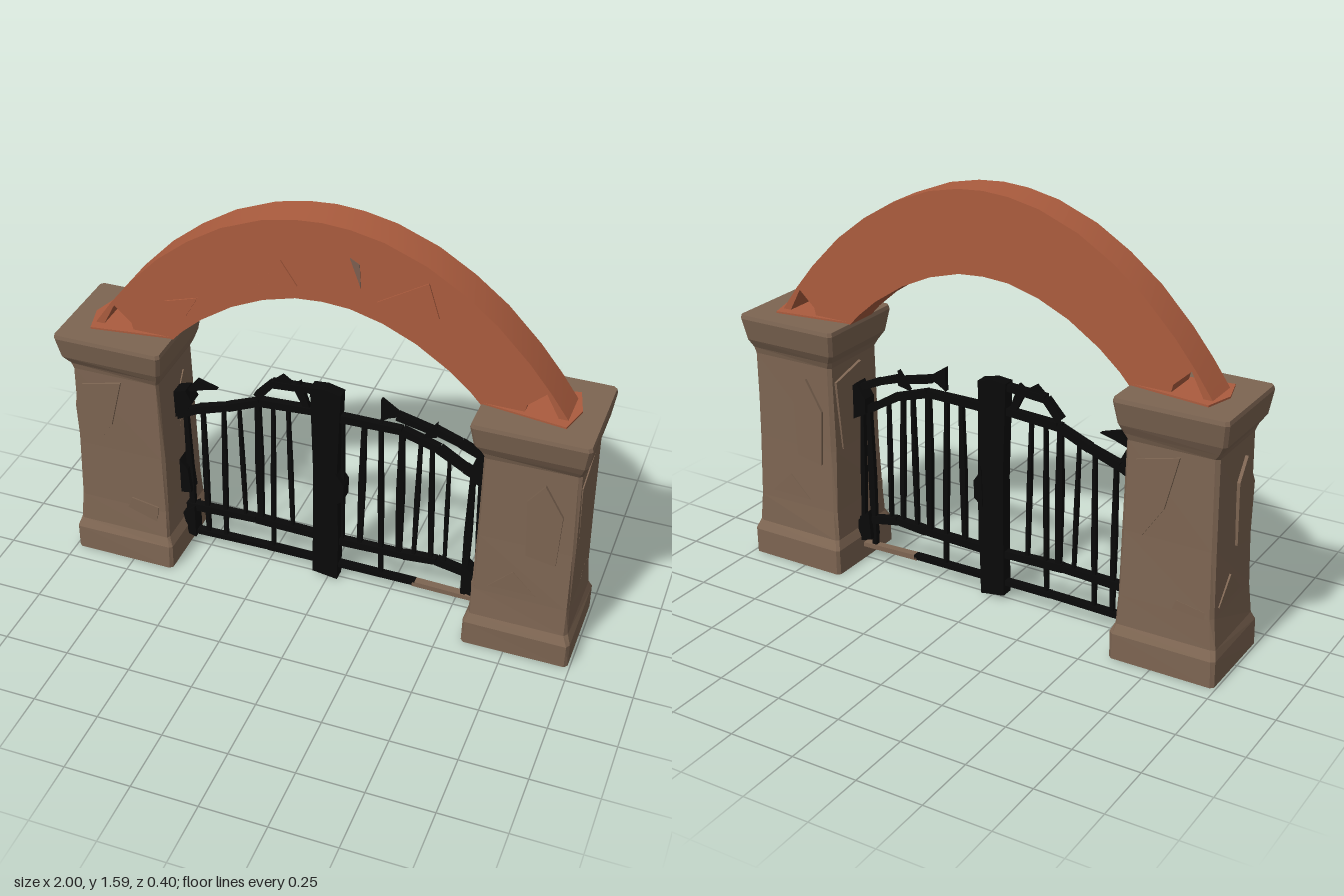
import * as THREE from 'three';
import { toCreasedNormals } from 'three/addons/utils/BufferGeometryUtils.js';

const mat = (name, color, flat = false) => {
  const m = new THREE.MeshStandardMaterial({ color, flatShading: flat, side: THREE.DoubleSide });
  m.name = name;
  return m;
};

export function createModel() {
  const root = new THREE.Group();
  root.name = 'archedGateway';
  const stone = mat('brownStone', 0x7d6552, true);
  const clay = mat('terracotta', 0xab5c3e);
  const iron = mat('blackIron', 0x090909, true);
  const grey = mat('greyBrownChip', 0x7c5f50);

  let seed = 7;
  const rand = () => ((seed = (seed * 16807) % 2147483647) / 2147483647) * 2 - 1;

  const add = (parent, name, geo, material) => {
    const m = new THREE.Mesh(geo, material);
    m.name = name;
    parent.add(m);
    return m;
  };
  const shapeOf = pts => new THREE.Shape(pts.map(p => new THREE.Vector2(p[0], p[1])));
  // Flat outline pushed out along z, centred on z
  const slab = (pts, depth, z = 0) =>
    new THREE.ExtrudeGeometry(shapeOf(pts), { depth, bevelEnabled: false }).translate(0, 0, z - depth / 2);
  // Flat bar between two points
  const bar = (parent, name, a, b, w0, w1, depth, material = iron) => {
    const dx = b[0] - a[0], dy = b[1] - a[1], l = Math.hypot(dx, dy);
    const nx = -dy / l / 2, ny = dx / l / 2;
    add(parent, name, slab([
      [a[0] + nx * w0, a[1] + ny * w0], [a[0] - nx * w0, a[1] - ny * w0],
      [b[0] - nx * w1, b[1] - ny * w1], [b[0] + nx * w1, b[1] + ny * w1]], depth), material);
  };

  // Square pillar from chamfered cross-sections: y, half width, half depth, x shift inward
  const levels = [
    [0, 0.203, 0.185, 0], [0.1, 0.203, 0.185, 0], [0.135, 0.19, 0.168, 0], [0.25, 0.182, 0.16, -0.004],
    [0.5, 0.178, 0.154, -0.004], [0.84, 0.174, 0.15, -0.006], [0.865, 0.183, 0.16, -0.004],
    [0.9, 0.2, 0.18, 0], [0.985, 0.212, 0.198, 0], [1.0, 0.208, 0.195, 0]];
  const pillarGeometry = () => {
    const pos = [], idx = [], n = 8;
    for (const [y, w, d, s] of levels) {
      const c = 0.012;
      const ring = [[w - c, d], [w, d - c], [w, c - d], [w - c, -d], [c - w, -d], [-w, c - d], [-w, d - c], [c - w, d]];
      for (const [x, z] of ring) {
        const k = y > 0 && y < 0.9 ? 0.004 : 0;
        pos.push(x - s + rand() * k, y, z + rand() * k);
      }
    }
    for (let i = 0; i < levels.length - 1; i++)
      for (let j = 0; j < n; j++) {
        const a = i * n + j, b = i * n + (j + 1) % n;
        idx.push(a, a + n, b, b, a + n, b + n);
      }
    const top = (levels.length - 1) * n;
    for (let j = 1; j < n - 1; j++) idx.push(0, j, j + 1, top, top + j + 1, top + j);
    // Winding runs clockwise from above, so every face is turned outward here
    for (let i = 0; i < idx.length; i += 3) [idx[i + 1], idx[i + 2]] = [idx[i + 2], idx[i + 1]];
    const g = new THREE.BufferGeometry();
    g.setAttribute('position', new THREE.Float32BufferAttribute(pos, 3));
    g.setIndex(idx);
    g.computeVertexNormals();
    return g;
  };

  // Chipped stone faces, outlined in the plane of a pillar side
  const chips = [
    [[-0.13, 0.78], [-0.1, 0.5], [-0.02, 0.62], [0.03, 0.82]],
    [[-0.12, 0.28], [0.06, 0.28], [-0.03, 0.37]],
    [[0.02, 0.24], [0.14, 0.2], [0.15, 0.27], [0.04, 0.29]],
    [[0.01, 0.46], [0.12, 0.44], [0.13, 0.66], [0.06, 0.78], [0, 0.7]]];
  for (const side of [-1, 1]) {
    const p = new THREE.Group();
    p.name = side > 0 ? 'leftPillar' : 'rightPillar';
    p.position.x = side * 0.788;
    add(p, 'pillarStone', pillarGeometry(), stone);
    for (let f = 0; f < 4; f++)
      chips.forEach((c, i) => {
        if ((i + f + (side > 0 ? 1 : 0)) % 2) return;
        const m = add(p, 'stoneChip', slab(c, 0.012), stone);
        m.rotation.y = f * Math.PI / 2;
        const out = f % 2 ? 0.177 : 0.156;
        m.position.set(Math.sin(m.rotation.y) * out, 0, Math.cos(m.rotation.y) * out);
      });
    // Terracotta spreading over the cap around the arch foot
    const skirt = add(p, 'archFootSkirt', slab([[-0.2, -0.07], [0.1, -0.11], [0.13, 0], [0.1, 0.11], [-0.2, 0.07]], 0.008), clay);
    skirt.rotation.x = -Math.PI / 2;
    skirt.position.y = 1.003;
    if (side < 0) skirt.rotation.z = Math.PI;
    root.add(p);
  }

  // Arch with a small open notch at each foot
  const outer = [[0.89, 1.0], [0.82, 1.1], [0.74, 1.2], [0.62, 1.325], [0.5, 1.42], [0.37, 1.5], [0.22, 1.56], [0.1, 1.585]];
  const inner = [[0.1, 1.278], [0.22, 1.245], [0.34, 1.19], [0.46, 1.11], [0.54, 1.04], [0.585, 0.99]];
  const notch = [[0.73, 0.99], [0.74, 1.035], [0.805, 1.095], [0.855, 1.0]];
  const half = [...inner, ...notch];
  const mirror = pts => pts.map(([x, y]) => [-x, y]).reverse();
  const archPts = [...outer, [0, 1.592], ...mirror(outer), ...mirror(half), [0, 1.285], ...half];
  add(root, 'arch', toCreasedNormals(slab(archPts, 0.14), 0.6), clay);
  for (const pts of [
    [[-0.26, 1.27], [-0.15, 1.42], [-0.09, 1.33]],
    [[0.2, 1.33], [0.38, 1.44], [0.42, 1.31], [0.3, 1.27]],
    [[-0.6, 1.16], [-0.47, 1.2], [-0.52, 1.11]]])
    add(root, 'archChip', slab(pts, 0.009, 0.071), clay);
  add(root, 'greyChip', slab([[0.1, 1.48], [0.14, 1.37], [0.135, 1.46]], 0.006, 0.07), grey);

  // Iron gate
  const gate = new THREE.Group();
  gate.name = 'gate';
  root.add(gate);
  add(gate, 'centrePost', slab([[-0.06, 0.02], [0.04, 0.005], [0.045, 0.2], [0.038, 0.5], [0.052, 0.87], [-0.01, 0.885], [-0.065, 0.88], [-0.055, 0.5]], 0.05), iron);
  add(gate, 'latch', slab([[0.03, 0.37], [0.065, 0.4], [0.068, 0.47], [0.035, 0.52]], 0.06), iron);

  // Upright bars: x, bottom, top, width
  const bars = [
    [-0.57, 0.06, 0.68, 0.025], [-0.505, 0.06, 0.68, 0.02], [-0.425, 0.06, 0.7, 0.018], [-0.35, 0.2, 0.7, 0.014],
    [-0.28, 0.2, 0.77, 0.03], [-0.225, 0.06, 0.77, 0.016], [-0.155, 0.2, 0.77, 0.016],
    [0.055, 0.2, 0.76, 0.012], [0.13, 0.2, 0.77, 0.025], [0.205, 0.06, 0.78, 0.02], [0.28, 0.2, 0.76, 0.03],
    [0.345, 0.2, 0.75, 0.018], [0.4, 0.2, 0.72, 0.02], [0.46, 0.2, 0.7, 0.014], [0.545, 0.06, 0.66, 0.028], [0.585, 0.1, 0.66, 0.02]];
  bars.forEach(([x, y0, y1, w], i) => {
    const mid = (y0 + y1) / 2, lean = (i % 3 - 1) * 0.006;
    bar(gate, 'uprightBar', [x - lean, y0], [x, mid], w * 0.7, w, 0.02);
    bar(gate, 'uprightBar', [x, mid], [x + lean, y1], w, w * 0.6, 0.02);
  });

  // Rails, each a run of points with a width
  const rails = [
    ['bottomRail', 0.022, [[-0.58, 0.065], [-0.25, 0.07], [0.35, 0.068]]],
    ['lowerRail', 0.032, [[-0.59, 0.185], [-0.3, 0.195], [0.05, 0.185], [0.3, 0.19], [0.43, 0.2], [0.6, 0.165]]],
    ['archedRail', 0.032, [[-0.62, 0.61], [-0.52, 0.66], [-0.4, 0.7], [-0.27, 0.755], [-0.05, 0.768]]],
    ['archedRail', 0.032, [[0.04, 0.762], [0.28, 0.765], [0.42, 0.72], [0.52, 0.66], [0.62, 0.61]]],
    ['topRail', 0.03, [[-0.28, 0.78], [-0.22, 0.85], [-0.05, 0.862]]],
    ['topRail', 0.028, [[0.26, 0.825], [0.41, 0.79]]],
    ['topRail', 0.028, [[0.4, 0.8], [0.5, 0.765], [0.6, 0.72]]]];
  for (const [name, w, pts] of rails)
    for (let i = 0; i < pts.length - 1; i++) bar(gate, name, pts[i], pts[i + 1], w, w * 0.85, 0.03);
  bar(gate, 'bareRailEnd', [0.34, 0.066], [0.6, 0.06], 0.022, 0.018, 0.03, stone);

  // Broken scroll pieces and hinges
  const pieces = [
    ['scroll', [[0.2, 0.79], [0.2, 0.885], [0.28, 0.83], [0.23, 0.81]]],
    ['scroll', [[0.36, 0.76], [0.41, 0.83], [0.41, 0.77]]],
    ['scroll', [[-0.57, 0.73], [-0.52, 0.795], [-0.44, 0.77], [-0.5, 0.755]]],
    ['scroll', [[-0.24, 0.84], [-0.18, 0.895], [-0.13, 0.86], [-0.2, 0.84]]],
    ['scroll', [[-0.14, 0.86], [-0.11, 0.885], [-0.07, 0.77], [-0.1, 0.78]]],
    ['hinge', [[-0.625, 0.61], [-0.57, 0.64], [-0.535, 0.7], [-0.56, 0.75], [-0.625, 0.73]]],
    ['hinge', [[-0.62, 0.26], [-0.56, 0.27], [-0.57, 0.38], [-0.62, 0.44]]],
    ['hinge', [[-0.6, 0.16], [-0.55, 0.2], [-0.55, 0.05], [-0.58, 0.06]]],
    ['hinge', [[0.625, 0.59], [0.55, 0.63], [0.55, 0.69], [0.59, 0.75], [0.625, 0.72]]],
    ['hinge', [[0.6, 0.08], [0.54, 0.1], [0.55, 0.22], [0.6, 0.17]]]];
  for (const [name, pts] of pieces) add(gate, name, slab(pts, name === 'hinge' ? 0.06 : 0.02), iron);

  return root;
}
